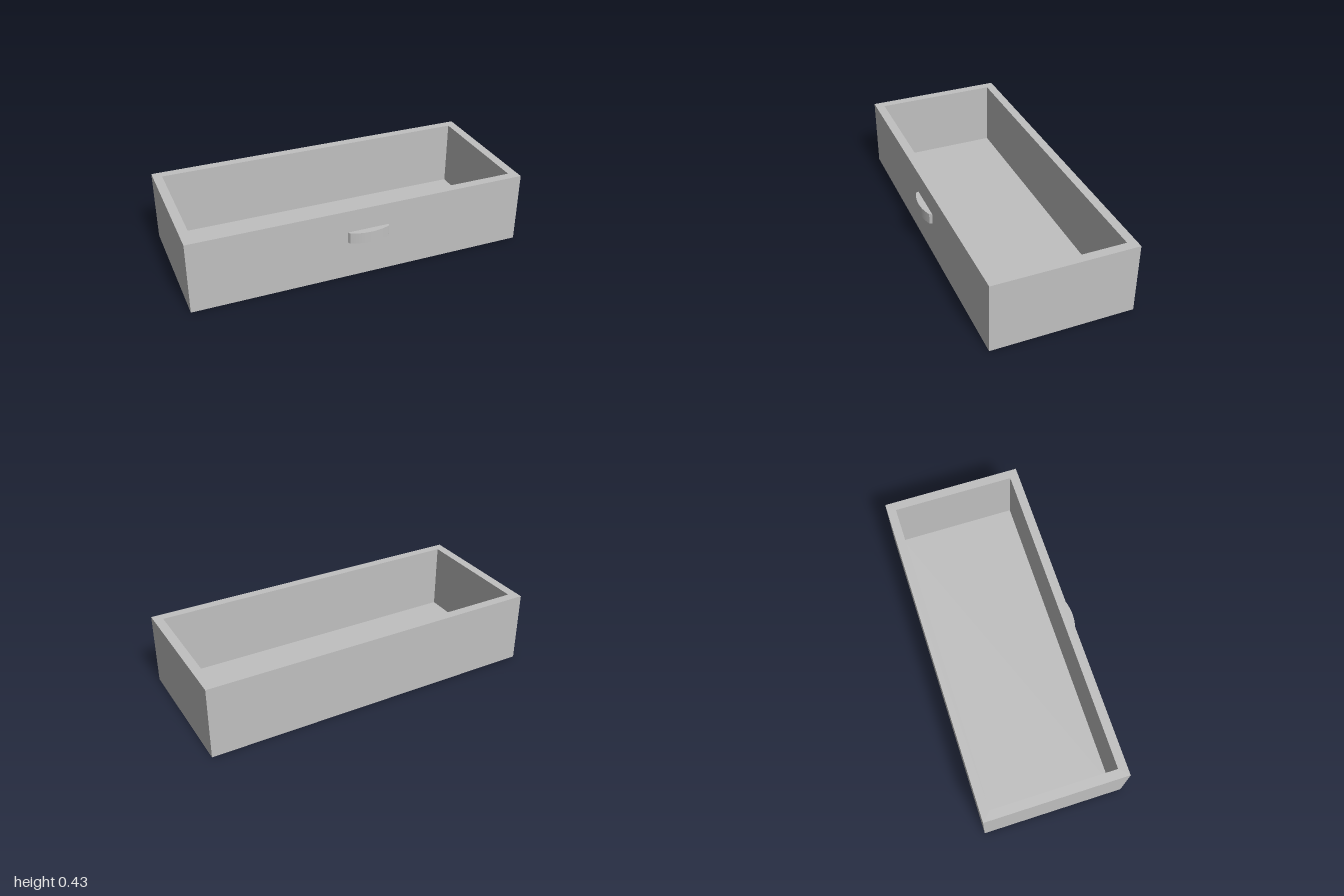
import * as THREE from 'three';
import { toCreasedNormals } from 'three/addons/utils/BufferGeometryUtils.js';

const HEIGHT = 0.425, BACK = -0.437, FRONT = 0.397, WALL = 0.053, FLOOR = 0.025;

// Rectangle in plan, where shape y stands for -z
function rectangle(target, inset) {
  const x = 1 - inset, far = -BACK - inset, near = -FRONT + inset;
  target.moveTo(-x, near);
  target.lineTo(x, near);
  target.lineTo(x, far);
  target.lineTo(-x, far);
  target.closePath();
  return target;
}

// Extrude a plan shape upwards from a given height
function extrudeUp(shape, y, height, curveSegments = 1) {
  const geometry = new THREE.ExtrudeGeometry(shape, { depth: height, bevelEnabled: false, curveSegments });
  geometry.rotateX(-Math.PI / 2);
  geometry.translate(0, y, 0);
  return geometry;
}

export function createModel() {
  const group = new THREE.Group();
  group.name = 'drawer';
  const grey = new THREE.MeshStandardMaterial({ color: 0xc0c0c0 });
  grey.name = 'light grey';

  const add = (name, geometry) => {
    const mesh = new THREE.Mesh(geometry, grey);
    mesh.name = name;
    group.add(mesh);
  };

  // Four walls as one open frame
  const frame = rectangle(new THREE.Shape(), 0);
  frame.holes.push(rectangle(new THREE.Path(), WALL));
  add('walls', extrudeUp(frame, 0, HEIGHT));

  // Thin bottom panel fitted between the walls
  add('floor', extrudeUp(rectangle(new THREE.Shape(), WALL), 0, FLOOR));

  // Bowed pull with slightly slanted ends, a little off centre
  const pull = new THREE.Shape();
  pull.moveTo(0.155, -FRONT);
  pull.lineTo(-0.095, -FRONT);
  pull.lineTo(-0.087, -0.413);
  pull.quadraticCurveTo(0.03, -0.461, 0.147, -0.413);
  pull.closePath();
  add('handle', toCreasedNormals(extrudeUp(pull, 0.226, 0.065, 20), 0.4));

  return group;
}
